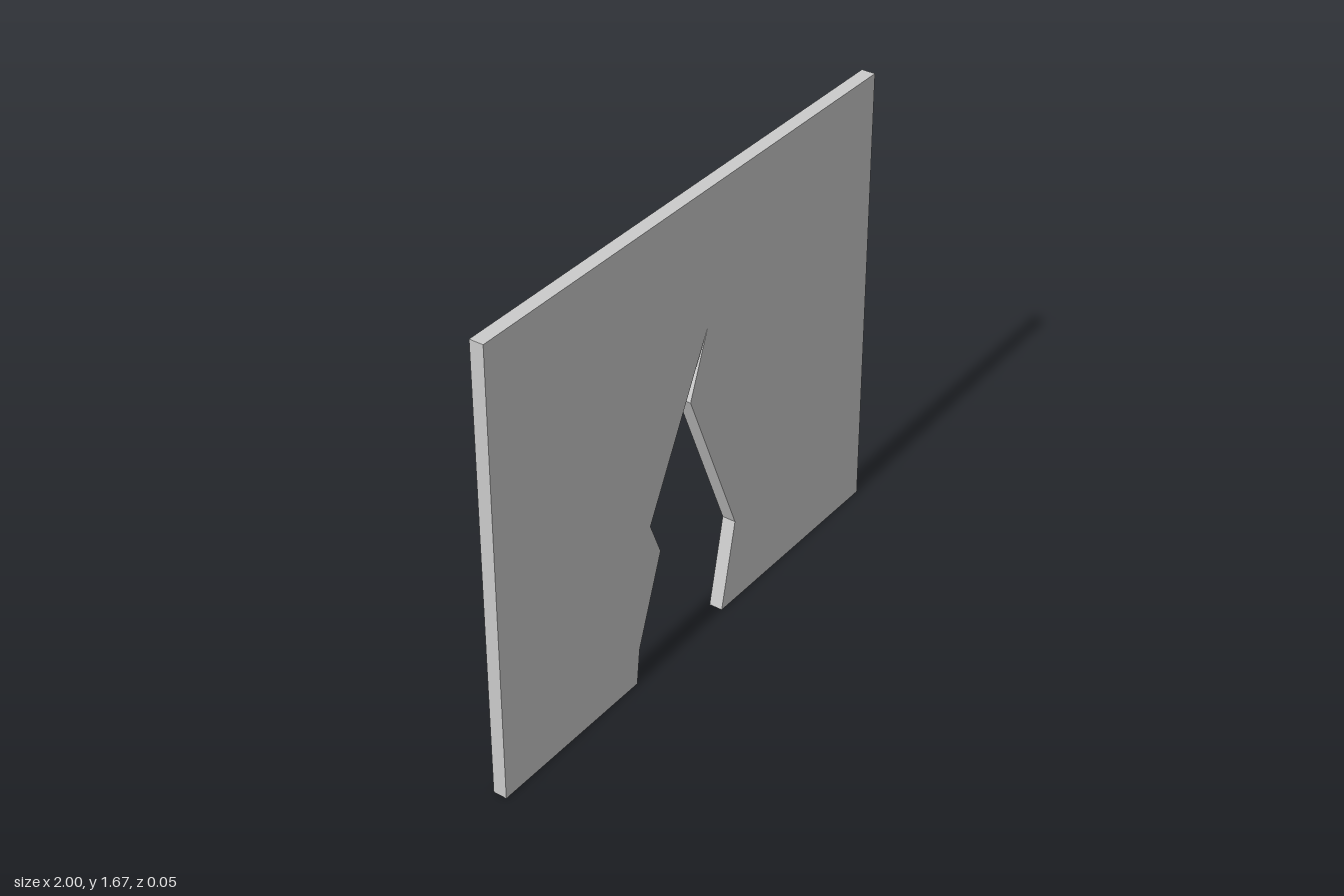
import * as THREE from 'three';

const HEIGHT = 1.675;
const THICKNESS = 0.05;

// Jagged opening, from its left foot over the tip to its right foot
const CRACK = [
  [-0.32, 0], [-0.305, 0.135], [-0.187, 0.463], [-0.24, 0.592],
  [0.068, 1.18],
  [-0.023, 0.945], [0.231, 0.328], [0.158, 0],
];

export function createModel() {
  const model = new THREE.Group();
  model.name = 'brokenWall';

  // Wall outline, counter-clockwise, with the crack cut up from the bottom edge
  const outline = [
    [-1, 0], ...CRACK, [1, 0], [1, HEIGHT], [-1, HEIGHT],
  ].map(([x, y]) => new THREE.Vector2(x, y));

  const geometry = new THREE.ExtrudeGeometry(new THREE.Shape(outline), {
    depth: THICKNESS,
    bevelEnabled: false,
  });
  geometry.translate(0, 0, -THICKNESS / 2);

  const wall = new THREE.Mesh(
    geometry,
    new THREE.MeshStandardMaterial({ color: 0xcccccc, flatShading: true }),
  );
  wall.name = 'crackedWallPanel';
  model.add(wall);
  return model;
}
